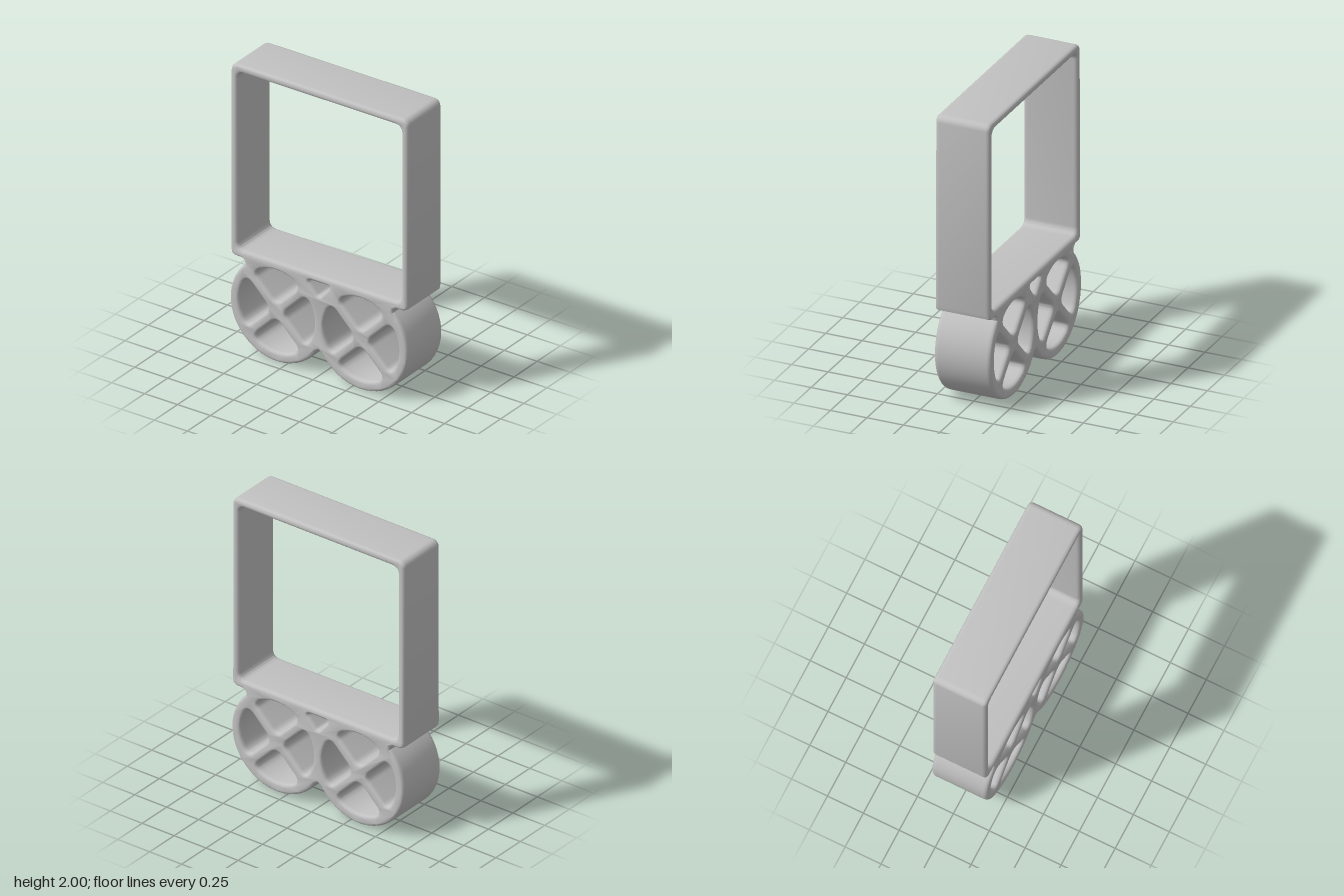
import * as THREE from 'three';
import { toCreasedNormals } from 'three/addons/utils/BufferGeometryUtils.js';

const V = (x, y) => new THREE.Vector2(x, y);
const polar = (c, r, a) => V(c.x + r * Math.cos(a), c.y + r * Math.sin(a));
const rad = THREE.MathUtils.degToRad;

// Closed polygon with its corners rounded off by r
function roundedPath(points, r) {
  const path = new THREE.Path();
  points.forEach((p, i) => {
    const prev = points.at(i - 1), next = points[(i + 1) % points.length];
    const a = p.clone().add(prev.clone().sub(p).setLength(r));
    const b = p.clone().add(next.clone().sub(p).setLength(r));
    if (i === 0) path.moveTo(a.x, a.y);
    else path.lineTo(a.x, a.y);
    path.quadraticCurveTo(p.x, p.y, b.x, b.y);
  });
  path.closePath();
  return path;
}

// Opening between two crossed spokes, facing direction t
function spokeOpening(c, t, r = 0.285, w = 0.034, trim = 0.055) {
  const half = Math.PI / 4 - Math.asin(w / r), arc = half - 0.2;
  const apex = polar(c, w * Math.SQRT2, t);
  const low = polar(c, r, t - half), high = polar(c, r, t + half);
  const along = (from, to) => from.clone().add(to.clone().sub(from).setLength(trim));
  const path = new THREE.Path();
  const a = along(apex, high), b = along(apex, low), d = along(low, apex), f = along(high, apex);
  const e = polar(c, r, t - arc);
  path.moveTo(a.x, a.y);
  path.quadraticCurveTo(apex.x, apex.y, b.x, b.y);
  path.lineTo(d.x, d.y);
  path.quadraticCurveTo(low.x, low.y, e.x, e.y);
  path.absarc(c.x, c.y, r, t - arc, t + arc, false);
  path.quadraticCurveTo(high.x, high.y, f.x, f.y);
  path.closePath();
  return path;
}

// Right half of the silhouette: wheel, neck, then square frame
function silhouette() {
  const c = V(0.32, 0.357), half = [];
  for (let i = 0; i <= 28; i++) half.push(polar(c, 0.355, rad(212 + (195 * i) / 28)));
  half.push(V(0.568, 0.64), V(0.59, 0.652), V(0.64, 0.653), V(0.666, 0.667), V(0.673, 0.695));
  for (let i = 0; i <= 5; i++) half.push(polar(V(0.628, 1.955), 0.045, (i / 5) * Math.PI / 2));
  const mirrored = half.map((p) => V(-p.x, p.y)).reverse();
  return new THREE.Shape([V(0, 0.18), ...half, ...mirrored]);
}

export function createModel() {
  const group = new THREE.Group();
  group.name = 'wheeledFrame';
  const grey = new THREE.MeshStandardMaterial({ color: 0xc0c0c0 });
  grey.name = 'grey';

  const shape = silhouette();
  // Square window
  shape.holes.push(roundedPath([V(-0.622, 0.705), V(0.622, 0.705), V(0.622, 1.948), V(-0.622, 1.948)], 0.05));
  // Small triangle between the wheels
  shape.holes.push(roundedPath([V(-0.09, 0.655), V(0, 0.55), V(0.09, 0.655)], 0.032));
  // Four openings in each wheel
  for (const x of [-0.32, 0.32])
    for (let k = 0; k < 4; k++) shape.holes.push(spokeOpening(V(x, 0.36), (k * Math.PI) / 2));

  const bevel = 0.02, edge = 0.028, depth = 0.37;
  const geo = new THREE.ExtrudeGeometry(shape, {
    depth: depth - 2 * edge, curveSegments: 10,
    bevelSize: bevel, bevelOffset: -bevel, bevelThickness: edge, bevelSegments: 4,
  });
  geo.translate(0, 0, edge - depth / 2);

  // The wheels are slightly deeper than the frame
  const pos = geo.attributes.position;
  for (let i = 0; i < pos.count; i++) {
    const k = 1 - THREE.MathUtils.smoothstep(pos.getY(i), 0.64, 0.72);
    pos.setZ(i, pos.getZ(i) * (1 + 0.045 * k));
  }

  const body = new THREE.Mesh(toCreasedNormals(geo, 0.7), grey);
  body.name = 'frameAndWheels';
  group.add(body);
  return group;
}
